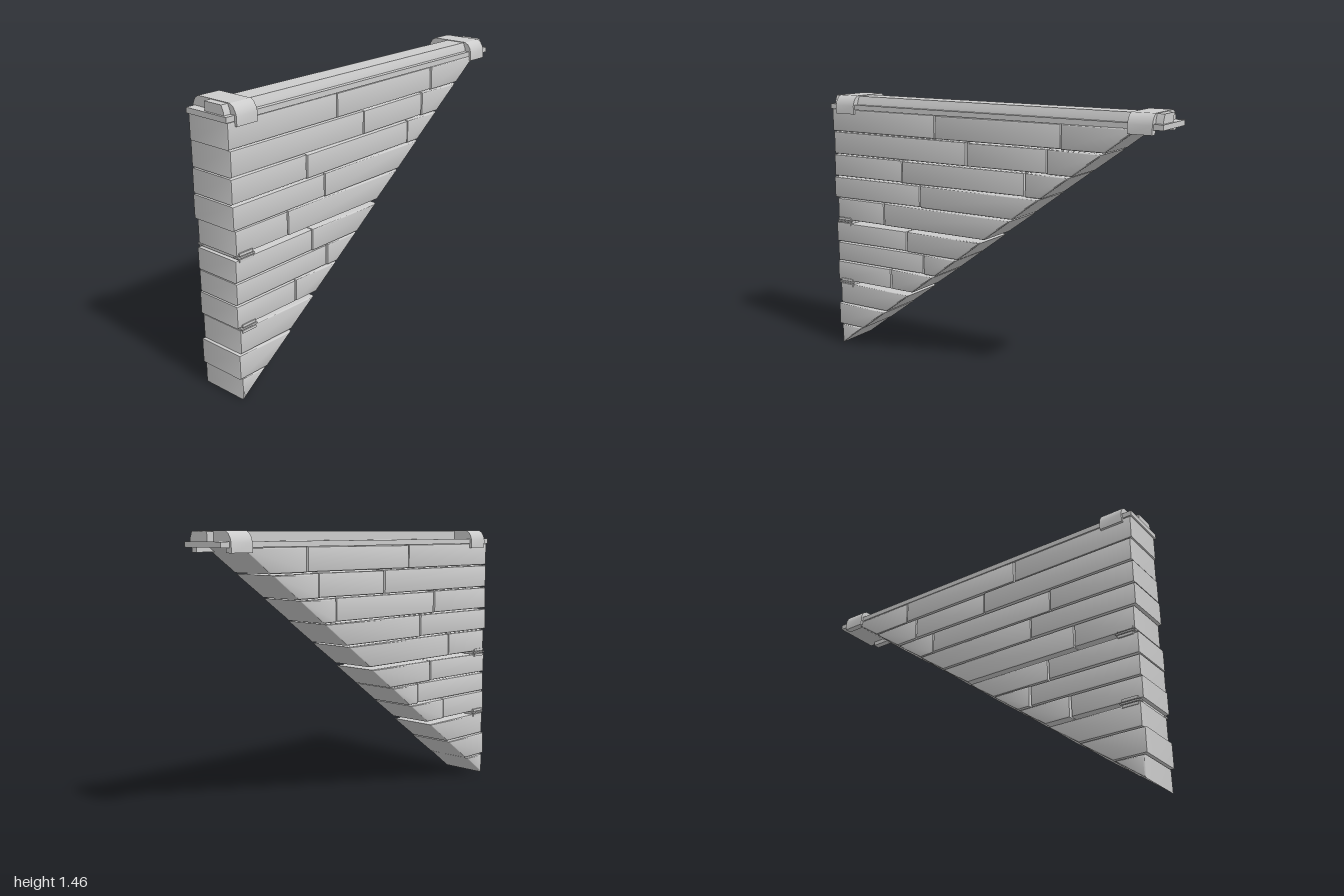
import * as THREE from 'three';
import { toCreasedNormals } from 'three/addons/utils/BufferGeometryUtils.js';

const material = new THREE.MeshStandardMaterial({ color: 0xcccccc });

function seeded(seed) {
  return () => {
    seed = (seed * 16807) % 2147483647;
    return seed / 2147483647;
  };
}

function add(parent, name, geometry, x = 0, y = 0, z = 0) {
  const mesh = new THREE.Mesh(geometry, material);
  mesh.name = name;
  mesh.position.set(x, y, z);
  parent.add(mesh);
  return mesh;
}

// Box given by its limits on each axis
function slab(parent, name, [x0, x1], [y0, y1], [z0, z1]) {
  return add(parent, name, new THREE.BoxGeometry(x1 - x0, y1 - y0, z1 - z0),
    (x0 + x1) / 2, (y0 + y1) / 2, (z0 + z1) / 2);
}

const toShape = (points) => new THREE.Shape(points.map(([x, y]) => new THREE.Vector2(x, y)));

// Stone with softened edges, outlined in x/y and running through the wall
function stoneGeometry(points, front, back) {
  const bevel = 0.01;
  const geometry = new THREE.ExtrudeGeometry(toShape(points), {
    depth: front + back - 2 * bevel,
    bevelEnabled: true, bevelSize: bevel, bevelThickness: bevel, bevelOffset: -bevel, bevelSegments: 2,
  });
  geometry.translate(0, 0, bevel - back);
  return toCreasedNormals(geometry, 0.6);
}

// Profile in z/y swept along x
function sweepAlongX(points, x0, x1) {
  const geometry = new THREE.ExtrudeGeometry(toShape(points.map(([z, y]) => [-z, y])),
    { depth: x1 - x0, bevelEnabled: false });
  geometry.rotateY(Math.PI / 2);
  geometry.translate(x0, 0, 0);
  return toCreasedNormals(geometry, 0.5);
}

// Each course: bottom, top, left end, joints
const courses = [
  [0.0, 0.115, -0.975, []],
  [0.118, 0.246, -0.99, []],
  [0.249, 0.374, -0.975, []],
  [0.389, 0.504, -0.99, [-0.6]],
  [0.507, 0.619, -0.985, [-0.37]],
  [0.622, 0.737, -0.987, [-0.48]],
  [0.752, 0.878, -0.975, [-0.64]],
  [0.881, 1.003, -0.99, [-0.385]],
  [1.006, 1.13, -0.988, [-0.505, 0.27]],
  [1.133, 1.259, -0.985, [-0.085, 0.395]],
  [1.262, 1.388, -0.992, [-0.285, 0.47]],
];
const slopeX = (y) => -0.975 + y * 1.333;

function buildWall() {
  const wall = new THREE.Group();
  wall.name = 'stoneWall';
  const random = seeded(41);
  const jitter = (amount) => (random() - 0.5) * amount;

  courses.forEach(([bottom, top, left, joints], row) => {
    const edges = [left, ...joints, null];
    for (let i = 0; i + 1 < edges.length; i++) {
      const x0 = edges[i] + (i ? 0.002 : 0);
      const last = edges[i + 1] === null;
      const dip = random() * 0.004;
      let points;
      if (last) {
        // The last stone of a course is cut along the slope
        const push = row ? jitter(0.012) : 0;
        points = [[x0, bottom], [slopeX(bottom) + push, bottom], [slopeX(top) + push, top - dip], [x0, top]];
        if (row === 0) points.splice(1, 1);
      } else {
        const x1 = edges[i + 1] - 0.002;
        points = [[x0, bottom], [x1 + jitter(0.004), bottom + dip], [x1, top], [x0, top - dip]];
      }
      add(wall, 'stone', stoneGeometry(points, 0.132 + random() * 0.006, 0.13 + random() * 0.008));
    }
  });
  return wall;
}

// Clips set in the two wide joints
function buildClip(y) {
  const clip = new THREE.Group();
  clip.name = 'wallClip';
  slab(clip, 'clipPlate', [-0.97, -0.87], [y - 0.008, y + 0.008], [-0.13, 0.13]);
  for (const side of [-1, 1]) {
    const z = side > 0 ? [0.11, 0.14] : [-0.14, -0.11];
    slab(clip, 'clipUpperLip', [-0.965, -0.88], [y + 0.008, y + 0.022], z);
    slab(clip, 'clipLowerLip', [-0.965, -0.88], [y - 0.022, y - 0.008], z);
    slab(clip, 'clipTongue', [-0.975, -0.87], [y - 0.004, y + 0.004], z);
  }
  return clip;
}

function buildCap() {
  const cap = new THREE.Group();
  cap.name = 'cap';
  slab(cap, 'capPlate', [-1, 1], [1.388, 1.415], [-0.133, 0.133]);

  // Raised rail, sitting towards the front of the plate
  add(cap, 'capRail', sweepAlongX(
    [[-0.02, 1.41], [0.108, 1.41], [0.105, 1.43], [0.092, 1.461], [-0.02, 1.461]], -0.988, 0.988));

  // Clamps folded over the cap at both ends
  const half = [[0.108, 1.388], [0.108, 1.364], [0.145, 1.364], [0.145, 1.41], [0.138, 1.432],
    [0.125, 1.452], [0.105, 1.464]];
  const profile = [...half, ...half.map(([z, y]) => [-z, y]).reverse()];
  for (const [name, x0, x1] of [['rightClamp', -0.95, -0.825], ['leftClamp', 0.825, 0.95]]) {
    add(cap, name, sweepAlongX(profile, x0, x1));
  }
  return cap;
}

export function createModel() {
  const model = new THREE.Group();
  model.name = 'triangularStoneWall';
  model.add(buildWall(), buildClip(0.381), buildClip(0.745), buildCap());
  return model;
}
